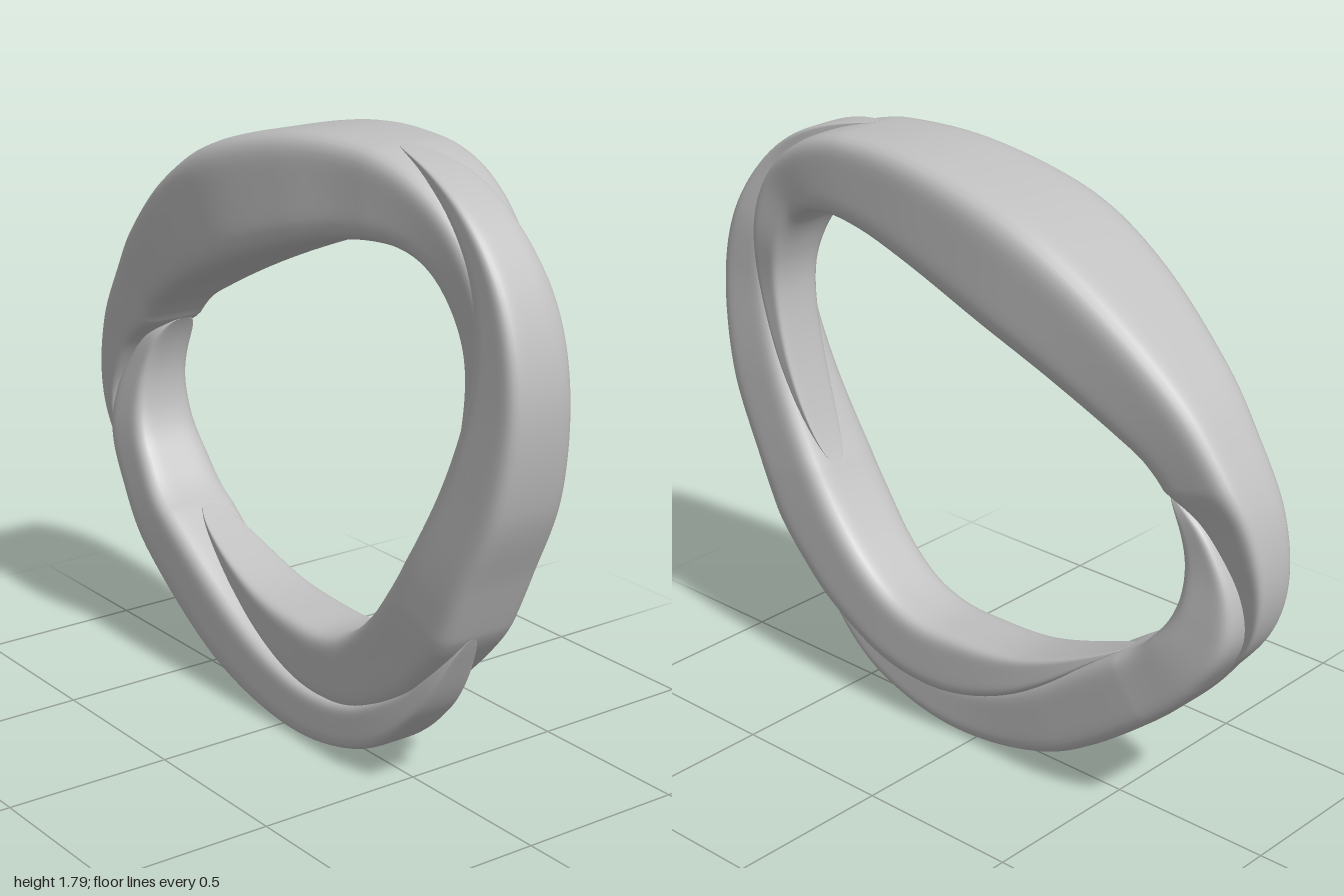
import * as THREE from 'three';

// Stations clockwise round the loop:
// outer x, outer y, inner x, inner y, back z, front z
const STATIONS = [
  [-0.25, 1.69, -0.12, 1.37, -0.21, 0.20],
  [0.05, 1.77, 0.14, 1.465, -0.20, 0.18],
  [0.32, 1.79, 0.35, 1.52, -0.18, 0.15],
  [0.60, 1.755, 0.52, 1.53, -0.16, 0.13],
  [0.80, 1.65, 0.64, 1.485, -0.14, 0.12],
  [0.94, 1.46, 0.715, 1.37, -0.14, 0.11],
  [1.00, 1.22, 0.74, 1.22, -0.13, 0.11],
  [0.96, 0.93, 0.70, 1.00, -0.14, 0.12],
  [0.85, 0.68, 0.61, 0.75, -0.14, 0.13],
  [0.74, 0.45, 0.48, 0.55, -0.14, 0.13],
  [0.60, 0.23, 0.35, 0.42, -0.14, 0.13],
  [0.38, 0.06, 0.22, 0.355, -0.14, 0.13],
  [0.05, 0.00, 0.06, 0.34, -0.14, 0.13],
  [-0.33, 0.09, -0.22, 0.37, -0.14, 0.13],
  [-0.68, 0.33, -0.55, 0.50, -0.13, 0.13],
  [-0.85, 0.51, -0.69, 0.62, -0.13, 0.11],
  [-0.96, 0.66, -0.755, 0.73, -0.12, 0.10],
  [-1.00, 0.83, -0.77, 0.86, -0.11, 0.09],
  [-0.97, 1.02, -0.735, 0.99, -0.12, 0.09],
  [-0.87, 1.20, -0.66, 1.10, -0.14, 0.10],
  [-0.74, 1.355, -0.55, 1.17, -0.16, 0.13],
  [-0.50, 1.55, -0.34, 1.275, -0.19, 0.18],
];
const LAP = STATIONS.length;
const RINGS = 220;
const SIDES = 64;

// Seams where one strand slides inside the next: station range and
// seam height across the loop (1 = outer edge, 0 = inner edge)
const SEAMS = [
  { from: 2.4, to: 8.2, heights: [1, 0.82, 0.64, 0.42, 0.26, 0.13, 0] },
  { from: 8.7, to: 14, heights: [1, 0.82, 0.67, 0.6, 0.5, 0.27, 0] },
  { from: 14.8, to: 18.5, heights: [1, 0.95, 0.85, 0.68, 0.47, 0.27, 0] },
];

// Smooth cubic blend through the values returned by get(i)
function blend(t, get) {
  const i = Math.floor(t), f = t - i;
  const [a, b, c, d] = [-1, 0, 1, 2].map((o) => get(i + o));
  return b + 0.5 * f * (c - a + f * (2 * a - 5 * b + 4 * c - d + f * (3 * (b - c) + d - a)));
}

function seamHeight(seam, t) {
  const last = seam.heights.length - 1;
  const p = THREE.MathUtils.clamp((t - seam.from) / (seam.to - seam.from), 0, 1) * last;
  const w = blend(p, (i) => seam.heights[THREE.MathUtils.clamp(i, 0, last)]);
  return THREE.MathUtils.clamp(w, 0, 1);
}

// Rounded-box strand that starts at the outer edge and ends at the inner edge
function strandGeometry(startSeam, endSeam) {
  const pos = [], index = [];
  const end = endSeam.to > startSeam.from && endSeam !== SEAMS[0] ? 0 : LAP;
  const t0 = startSeam.from, t1 = endSeam.to + end;
  for (let i = 0; i <= RINGS; i++) {
    const t = t0 + ((t1 - t0) * i) / RINGS;
    const [ox, oy, ix, iy, z0, z1] = [0, 1, 2, 3, 4, 5].map((k) =>
      blend(t, (s) => STATIONS[s % LAP][k]));
    const a = seamHeight(startSeam, t), b = seamHeight(endSeam, t - end);
    // Both strands overlap a little at the seam
    const lo = a - 0.15 * a * (1 - a), hi = b + 0.15 * b * (1 - b);
    const depth = ((z1 - z0) / 2) * (1 - a) ** 0.4 * b ** 0.3;
    const mid = (z0 + z1) / 2 + 0.03 * a - 0.03 * (1 - b);
    for (let j = 0; j < SIDES; j++) {
      const q = (j / SIDES) * Math.PI * 2;
      const c = Math.cos(q), s = Math.sin(q);
      const r = (Math.abs(c) ** 6 + Math.abs(s) ** 6) ** (-1 / 6);
      const w = lo + ((hi - lo) * (r * c + 1)) / 2;
      pos.push(ix + (ox - ix) * w, iy + (oy - iy) * w, mid + depth * r * s);
    }
  }
  for (let i = 0; i < RINGS; i++) {
    for (let j = 0; j < SIDES; j++) {
      const k = (j + 1) % SIDES;
      const a = i * SIDES + j, b = a + SIDES, c = (i + 1) * SIDES + k, d = i * SIDES + k;
      index.push(a, d, c, a, c, b);
    }
  }
  const geo = new THREE.BufferGeometry();
  geo.setAttribute('position', new THREE.Float32BufferAttribute(pos, 3));
  geo.setIndex(index);
  geo.computeVertexNormals();
  return geo;
}

export function createModel() {
  const grey = new THREE.MeshStandardMaterial({ color: 0xc0c0c0 });
  grey.name = 'light grey';
  const group = new THREE.Group();
  group.name = 'twistedRing';
  ['rightStrand', 'bottomStrand', 'topStrand'].forEach((name, i) => {
    const strand = new THREE.Mesh(strandGeometry(SEAMS[i], SEAMS[(i + 1) % 3]), grey);
    strand.name = name;
    group.add(strand);
  });
  return group;
}
